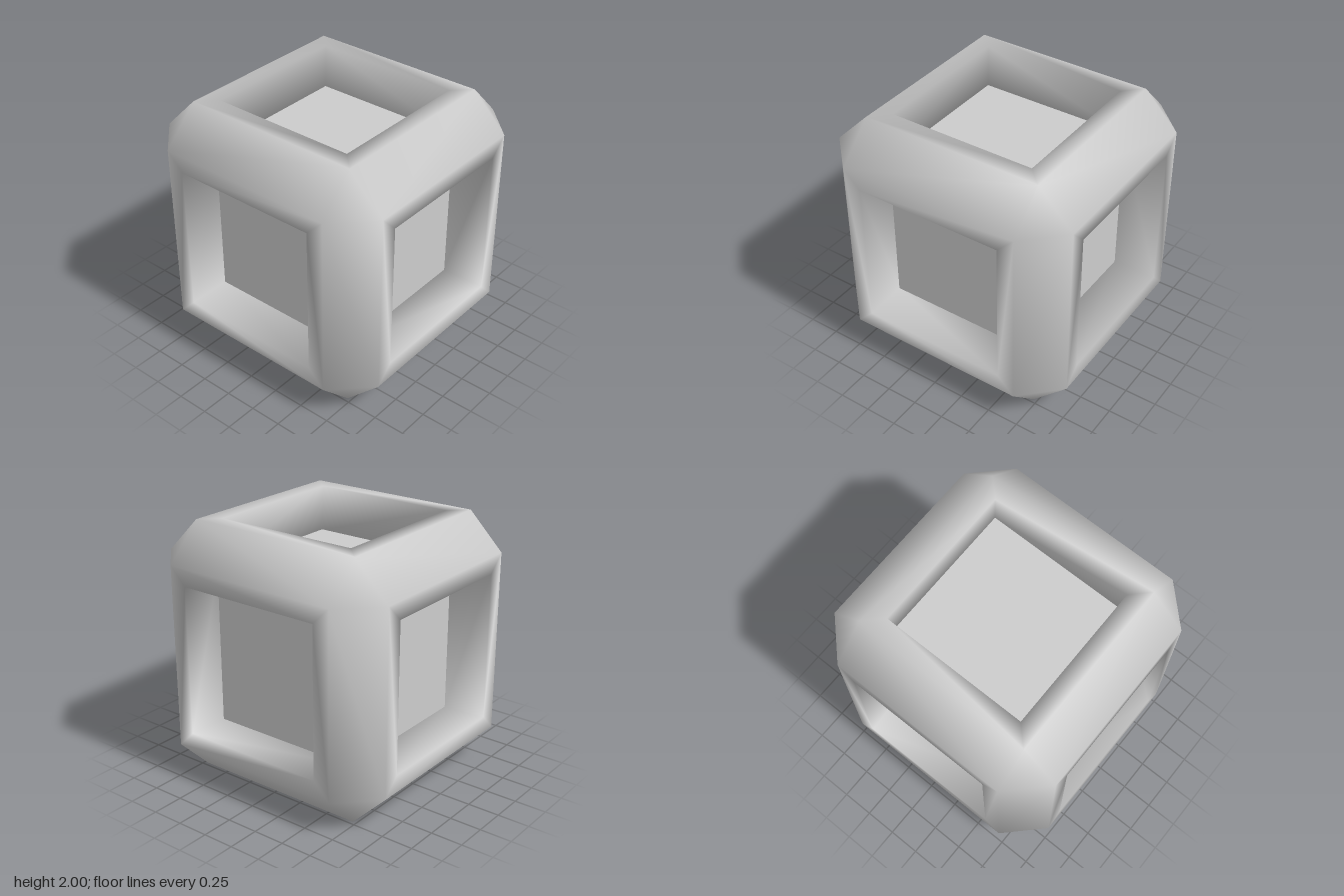
import * as THREE from 'three';
import { mergeVertices } from 'three/addons/utils/BufferGeometryUtils.js';

const FLAT = 0.72;  // where the outer chamfer starts
const RIM = 0.585;  // half width of each opening
const INNER = 0.62; // inner ridge of the bars

// Smooth chamfered cube frame: twelve mitred bars and eight corner triangles
function frameGeometry() {
  const positions = [];
  const triangle = (p, q, r, flip) => positions.push(...p, ...(flip ? r : q), ...(flip ? q : r));
  const profile = [[FLAT, 1], [1, FLAT], [1, RIM], [INNER, INNER], [RIM, 1]];

  for (let axis = 0; axis < 3; axis++) {
    for (const sa of [-1, 1]) for (const sb of [-1, 1]) {
      const flip = sa * sb < 0;
      const point = ([a, b], end) => {
        const p = [0, 0, 0];
        p[axis] = end * Math.min(a, b);
        p[(axis + 1) % 3] = sa * a;
        p[(axis + 2) % 3] = sb * b;
        return p;
      };
      profile.forEach((from, i) => {
        const to = profile[(i + 1) % profile.length];
        const p0 = point(from, -1), p1 = point(from, 1);
        const q0 = point(to, -1), q1 = point(to, 1);
        triangle(p0, p1, q1, flip);
        triangle(p0, q1, q0, flip);
      });
    }
  }

  for (const x of [-1, 1]) for (const y of [-1, 1]) for (const z of [-1, 1]) {
    triangle([x, y * FLAT, z * FLAT], [x * FLAT, y, z * FLAT], [x * FLAT, y * FLAT, z], x * y * z < 0);
  }

  const geometry = new THREE.BufferGeometry();
  geometry.setAttribute('position', new THREE.Float32BufferAttribute(positions, 3));
  const merged = mergeVertices(geometry, 1e-4);
  merged.computeVertexNormals();
  return merged;
}

export function createModel() {
  const model = new THREE.Group();
  model.name = 'framedCube';
  const grey = new THREE.MeshStandardMaterial({ color: 0xcccccc });
  grey.name = 'lightGrey';

  const frame = new THREE.Mesh(frameGeometry(), grey);
  frame.name = 'roundedFrame';

  // Plain cube held inside the frame
  const core = new THREE.Mesh(new THREE.BoxGeometry(1.25, 1.25, 1.25), grey);
  core.name = 'innerCube';

  for (const part of [frame, core]) {
    part.position.y = 1;
    model.add(part);
  }
  return model;
}
